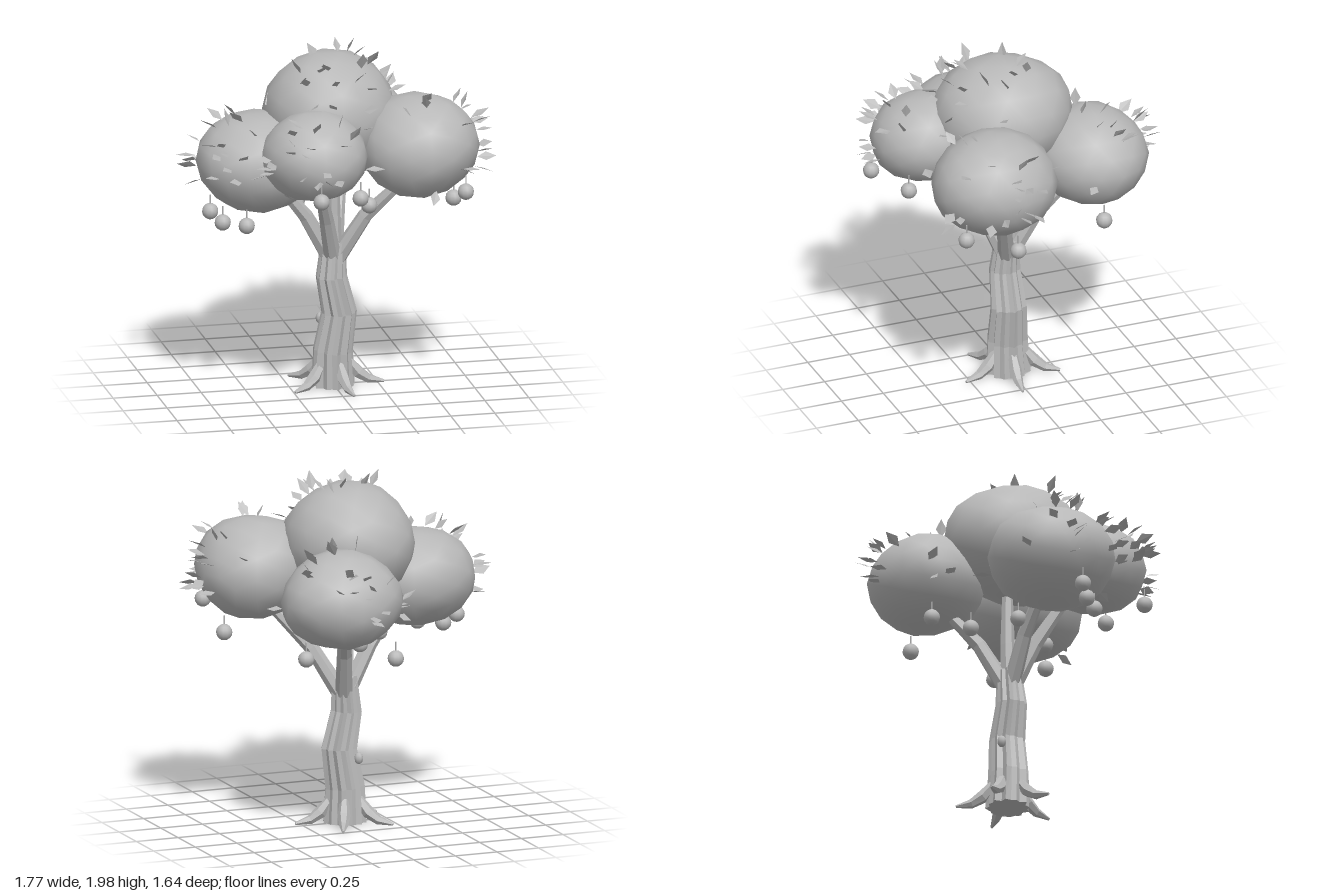
import * as THREE from 'three';
import { mergeVertices } from 'three/addons/utils/BufferGeometryUtils.js';

const V = (x, y, z) => new THREE.Vector3(x, y, z);

// Small seeded random generator
function seeded(seed) {
  let s = seed;
  return () => {
    s = (s * 16807) % 2147483647;
    return s / 2147483647;
  };
}

// Flat-shaded tapered limb swept through points, one radius per point
function limb(points, radii, sides, ref, ridge = () => 1) {
  const pos = [], idx = [];
  points.forEach((p, i) => {
    const t = points[Math.min(i + 1, points.length - 1)].clone()
      .sub(points[Math.max(i - 1, 0)]).normalize();
    const a = t.clone().cross(ref).normalize();
    const b = t.clone().cross(a);
    for (let k = 0; k < sides; k++) {
      const ang = (k / sides) * Math.PI * 2, r = radii[i] * ridge(k, i);
      const v = p.clone().addScaledVector(a, r * Math.cos(ang)).addScaledVector(b, r * Math.sin(ang));
      pos.push(v.x, Math.max(0, v.y), v.z);
    }
  });
  for (let i = 0; i < points.length - 1; i++) {
    for (let k = 0; k < sides; k++) {
      const n = (k + 1) % sides, o = i * sides, u = o + sides;
      idx.push(o + k, o + n, u + n, o + k, u + n, u + k);
    }
  }
  // End caps
  const last = (points.length - 1) * sides;
  for (let k = 1; k < sides - 1; k++) idx.push(0, k + 1, k, last, last + k, last + k + 1);
  const g = new THREE.BufferGeometry();
  g.setAttribute('position', new THREE.Float32BufferAttribute(pos, 3));
  g.setIndex(idx);
  const flat = g.toNonIndexed();
  flat.computeVertexNormals();
  return flat;
}

// Smooth, slightly lumpy foliage ball
function crownGeometry(r, seed) {
  let g = new THREE.IcosahedronGeometry(1, 2);
  g.deleteAttribute('uv');
  g.deleteAttribute('normal');
  g = mergeVertices(g, 1e-3);
  const p = g.attributes.position;
  for (let i = 0; i < p.count; i++) {
    const v = V().fromBufferAttribute(p, i);
    v.multiplyScalar(1 + 0.035 * Math.sin(v.x * 3.1 + seed * 2) * Math.cos(v.z * 2.7 + v.y * 2 + seed));
    v.multiply(r);
    p.setXYZ(i, v.x, v.y, v.z);
  }
  g.computeVertexNormals();
  return g;
}

// Diamond leaf with its base at the origin, pointing along +z
function leafGeometry() {
  const g = new THREE.BufferGeometry();
  g.setAttribute('position', new THREE.Float32BufferAttribute(
    [0, 0, 0, 0.034, 0.004, 0.055, 0, 0, 0.12, -0.034, 0.004, 0.055], 3));
  g.setIndex([0, 2, 1, 0, 3, 2]);
  const flat = g.toNonIndexed();
  flat.computeVertexNormals();
  return flat;
}

export function createModel() {
  const group = new THREE.Group();
  const clay = new THREE.MeshStandardMaterial({ color: 0xb8b8b8, side: THREE.DoubleSide });
  clay.name = 'clay grey';
  const add = (geo, name, parent = group) => {
    const m = new THREE.Mesh(geo, clay);
    m.name = name;
    parent.add(m);
    return m;
  };
  const zAxis = V(0, 0, 1), yAxis = V(0, 1, 0);

  // Fluted, gently swaying trunk
  const bark = (k, i) => (k % 2 ? 0.88 : 1.04) + 0.05 * Math.sin(k * 1.9 + i * 0.3);
  add(limb(
    [V(0, 0, 0.005), V(-0.003, 0.2, 0.01), V(0.03, 0.42, 0.015), V(-0.015, 0.63, 0.02), V(0, 0.83, 0.01)],
    [0.118, 0.108, 0.096, 0.083, 0.067], 24, zAxis, bark), 'trunk');

  // Knot on the bark
  const knot = add(new THREE.SphereGeometry(0.026, 8, 6), 'knot');
  knot.position.set(-0.06, 0.37, -0.06);
  knot.scale.y = 1.3;

  // Five roots
  for (let i = 0; i < 5; i++) {
    const a = THREE.MathUtils.degToRad(6 + i * 72);
    const at = (r, y) => V(r * Math.cos(a), y, r * Math.sin(a));
    add(limb([at(0.08, 0.14), at(0.14, 0.065), at(0.2, 0.025), at(0.285, 0.008)],
      [0.025, 0.036, 0.026, 0.008], 6, yAxis), 'root');
  }

  // Branches rising into the crowns
  [[-0.36, 1.24, 0.07], [-0.15, 1.28, 0.3], [0.36, 1.22, 0.2], [0.13, 1.2, -0.32], [0.0, 1.38, 0.0]]
    .forEach(([x, y, z]) => {
      add(limb(
        [V(x * 0.06, 0.74, z * 0.06 + 0.01), V(x * 0.45, 0.99, z * 0.45), V(x, y, z)],
        [0.05, 0.042, 0.028], 7, Math.abs(x) > Math.abs(z) ? zAxis : V(1, 0, 0)), 'branch');
    });

  // Crowns: centre, radii, side the leaves favour
  const crowns = [
    [V(-0.03, 1.6, 0.02), V(0.37, 0.33, 0.4), V(0.1, 0.8, 0.75)],
    [V(-0.44, 1.35, 0.08), V(0.36, 0.28, 0.36), V(-0.8, 0.6, 0.1)],
    [V(-0.2, 1.455, 0.42), V(0.3, 0.25, 0.31), V(-0.3, 0.5, 0.7)],
    [V(0.43, 1.435, 0.265), V(0.34, 0.29, 0.355), V(0.55, 0.4, 0.4)],
    [V(0.19, 1.37, -0.41), V(0.34, 0.275, 0.325), V(0.3, 0.5, -0.75)],
  ];
  const rnd = seeded(4711);
  const leafGeo = leafGeometry();
  crowns.forEach(([c, r, bias], n) => {
    add(crownGeometry(r, n), 'crown').position.copy(c);
    const leaves = new THREE.Group();
    leaves.name = 'leaves';
    group.add(leaves);
    for (let i = 0; i < 23; i++) {
      const d = V(rnd() - 0.5, rnd() - 0.5, rnd() - 0.5).multiplyScalar(2.1).add(bias).normalize();
      d.y = Math.max(d.y, -0.25);
      d.normalize();
      const leaf = add(leafGeo, 'leaf', leaves);
      leaf.position.copy(d).multiply(r).multiplyScalar(0.98).add(c);
      const dir = d.clone().add(V(rnd() - 0.5, rnd() * 0.6 - 0.1, rnd() - 0.5));
      dir.y *= 0.6;
      dir.normalize();
      leaf.lookAt(leaf.position.clone().add(dir));
      leaf.rotateZ((rnd() - 0.5) * 1.6);
      leaf.scale.setScalar(0.75 + rnd() * 0.25);
      // Keep leaf tips within the overall height
      const tip = leaf.position.y + dir.y * 0.12 * leaf.scale.x;
      if (tip > 1.98) leaf.position.y -= tip - 1.98;
    }
  });

  // Hanging fruit with thin stems
  const fruitGeo = new THREE.SphereGeometry(0.046, 12, 8);
  const stemGeo = new THREE.CylinderGeometry(0.004, 0.004, 0.06, 5);
  [
    [-0.73, 1.09, 0.14], [-0.67, 1.035, 0.19], [-0.555, 1.035, 0.285], [-0.23, 1.28, 0.73],
    [0.02, 1.25, 0.605], [0.14, 1.11, 0.29], [0.4, 1.05, -0.41], [0.64, 1.095, 0.2],
    [0.64, 1.22, 0.51], [-0.1, 1.03, -0.5], [0, 1.06, -0.22], [-0.2, 1.07, -0.02],
  ].forEach(([x, y, z]) => {
    const fruit = new THREE.Group();
    fruit.name = 'fruit';
    fruit.position.set(x, y, z);
    add(fruitGeo, 'fruitBody', fruit);
    add(stemGeo, 'fruitStem', fruit).position.y = 0.065;
    group.add(fruit);
  });

  return group;
}
